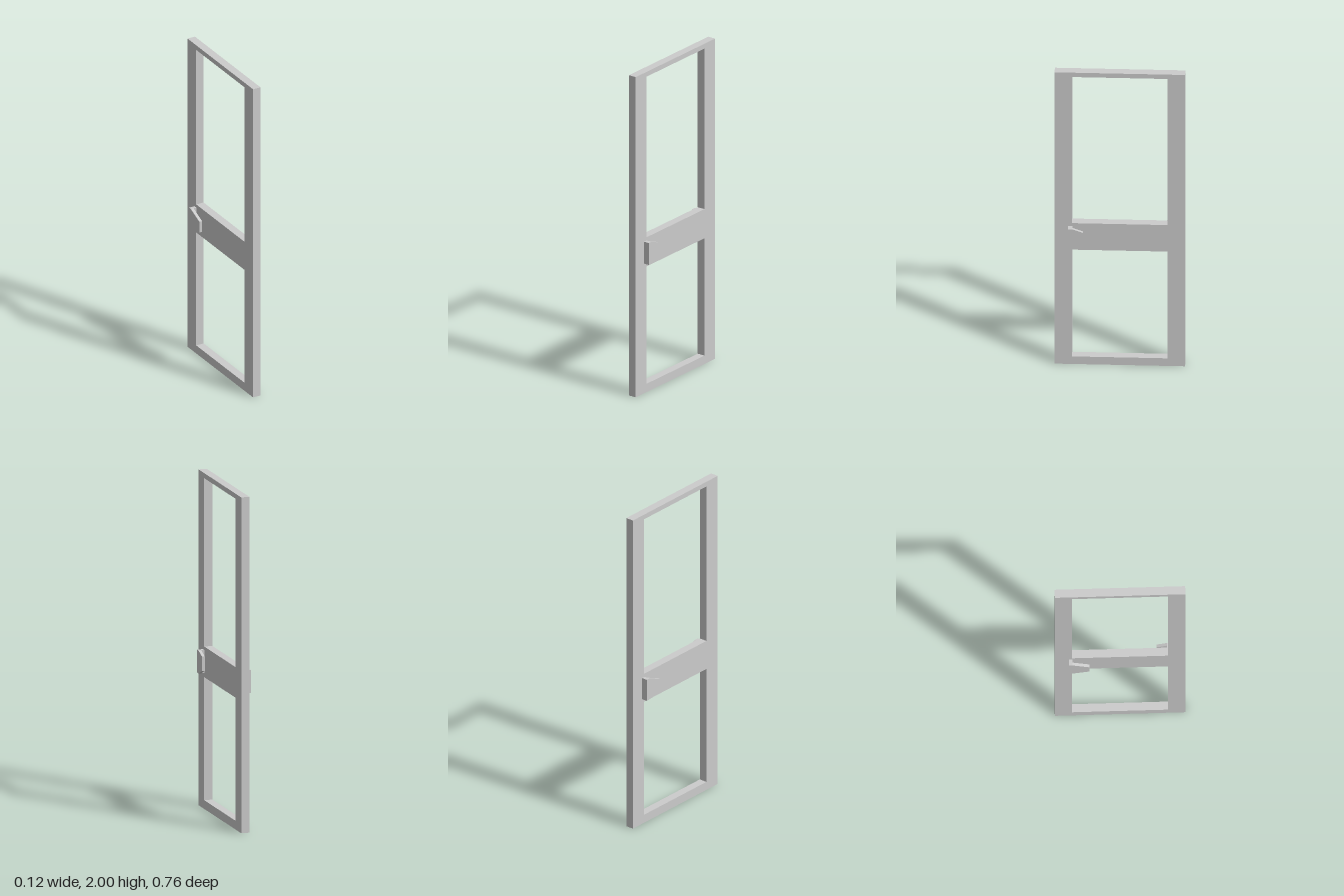
import * as THREE from 'three';

const material = new THREE.MeshStandardMaterial({ color: 0xcccccc, flatShading: true });

// Extrudes a (z, y) outline along x, from x0 to x1.
function slab(name, points, x0, x1, holes = []) {
  const toShape = (pts, Type) => new Type(pts.map(([z, y]) => new THREE.Vector2(-z, y)));
  const shape = toShape(points, THREE.Shape);
  shape.holes = holes.map((h) => toShape(h, THREE.Path));
  const geometry = new THREE.ExtrudeGeometry(shape, { depth: x1 - x0, bevelEnabled: false });
  geometry.rotateY(Math.PI / 2);
  geometry.translate(x0, 0, 0);
  const mesh = new THREE.Mesh(geometry, material);
  mesh.name = name;
  return mesh;
}

// Corners run counter-clockwise as seen from +x.
const rect = (z0, z1, y0, y1) => [[z1, y0], [z0, y0], [z0, y1], [z1, y1]];

// Handle for the +x face: a standoff block and a tapered grip reaching inwards.
function handle(name, { tip, root, end, tipBottom, tipTop, inner, outer }) {
  const group = new THREE.Group();
  group.name = name;
  const [bottom, top] = [0.81, 0.947];
  group.add(slab('standoff', rect(root, end, bottom, top), 0.025, outer));
  group.add(slab('grip',
    [[root, bottom], [tip, tipBottom], [tip, tipTop], [root, top]], inner, outer));
  return group;
}

export function createModel() {
  const model = new THREE.Group();
  model.name = 'door';

  // Door leaf with an upper and a lower opening
  model.add(slab('doorFrame', rect(-0.379, 0.379, 0, 2), -0.025, 0.025, [
    rect(-0.278, 0.278, 0.967, 1.97),
    rect(-0.278, 0.278, 0.052, 0.785),
  ]));

  // One handle on each face, at opposite edges
  model.add(handle('leftHandle', {
    tip: 0.213, root: 0.275, end: 0.3, tipBottom: 0.838, tipTop: 0.924, inner: 0.044, outer: 0.061,
  }));
  const right = handle('rightHandle', {
    tip: 0.178, root: 0.276, end: 0.298, tipBottom: 0.837, tipTop: 0.907, inner: 0.044, outer: 0.062,
  });
  right.rotation.y = Math.PI;
  model.add(right);

  return model;
}
